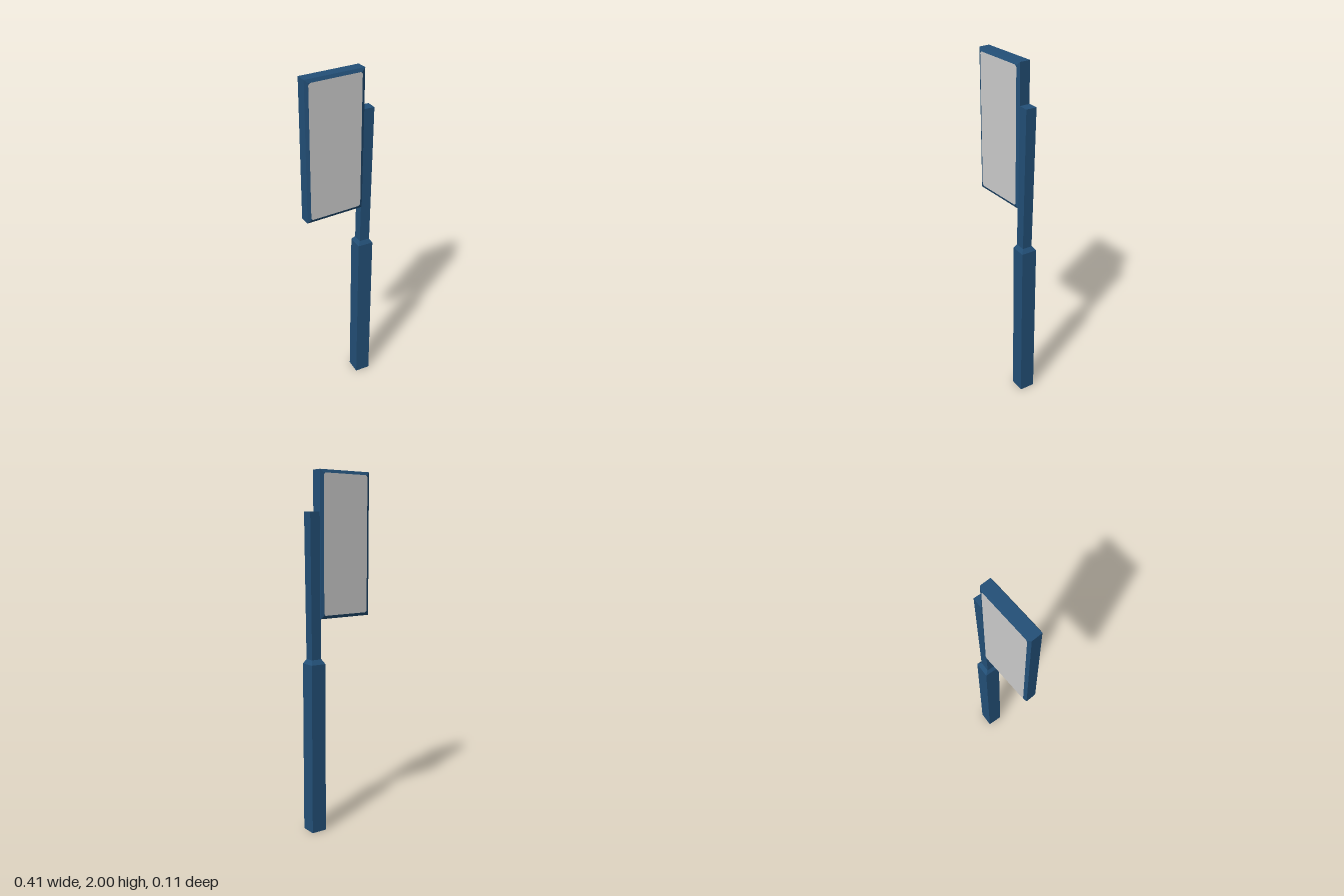
import * as THREE from 'three';

// Flat-sided solid through rectangular sections [cx, cy, halfW, halfH, z], z rising
function loft(sections) {
  const rings = sections.map(([cx, cy, w, h, z]) => [
    [cx - w, cy - h, z], [cx + w, cy - h, z], [cx + w, cy + h, z], [cx - w, cy + h, z],
  ]);
  const pos = [];
  const quad = (a, b, c, d) => pos.push(...a, ...b, ...c, ...a, ...c, ...d);
  const first = rings[0], last = rings[rings.length - 1];
  quad(first[3], first[2], first[1], first[0]);
  for (let i = 0; i < rings.length - 1; i++) {
    for (let j = 0; j < 4; j++) {
      const k = (j + 1) % 4;
      quad(rings[i][j], rings[i][k], rings[i + 1][k], rings[i + 1][j]);
    }
  }
  quad(...last);
  const geo = new THREE.BufferGeometry();
  geo.setAttribute('position', new THREE.Float32BufferAttribute(pos, 3));
  geo.computeVertexNormals();
  return geo;
}

export function createModel() {
  const group = new THREE.Group();
  const blue = new THREE.MeshStandardMaterial({ color: 0x235078 });
  blue.name = 'blue paint';
  const grey = new THREE.MeshStandardMaterial({ color: 0xcccccc });
  grey.name = 'light grey panel';

  const add = (parent, name, geo, mat) => {
    const mesh = new THREE.Mesh(geo, mat);
    mesh.name = name;
    parent.add(mesh);
    return mesh;
  };

  // Square post with a chamfered shoulder
  add(group, 'lowerPost', loft([
    [0.16, 0.009, 0.0445, 0.0445, 0],
    [0.16, 0.009, 0.0445, 0.0445, 0.96],
    [0.159, 0.006, 0.03, 0.029, 0.985],
  ]).rotateX(-Math.PI / 2), blue);

  // Slimmer post, leaning slightly toward the outside
  add(group, 'upperPost', loft([
    [0.159, 0.005, 0.03, 0.028, 0.98],
    [0.17, 0.01, 0.03, 0.03, 1.78],
  ]).rotateX(-Math.PI / 2), blue);

  // Sign box, turned a little, bevelled on front and back
  const sign = new THREE.Group();
  sign.name = 'sign';
  sign.position.set(-0.0325, 1.6035, 0.0025);
  sign.rotation.y = 0.0724;
  group.add(sign);

  const W = 0.172, H = 0.3965, w = 0.153, h = 0.379, depth = 0.0375;
  add(sign, 'signFrame', loft([
    [0, 0, w, h, -depth], [0, 0, W, H, -0.03], [0, 0, W, H, 0.03], [0, 0, w, h, depth],
  ]), blue);

  // Panels with clipped corners on both faces
  const c = 0.01;
  const outline = new THREE.Shape([
    [-w + c, -h], [w - c, -h], [w, -h + c], [w, h - c],
    [w - c, h], [-w + c, h], [-w, h - c], [-w, -h + c],
  ].map(([x, y]) => new THREE.Vector2(x, y)));
  for (const [name, turn] of [['frontPanel', 0], ['backPanel', Math.PI]]) {
    const geo = new THREE.ShapeGeometry(outline).translate(0, 0, depth + 0.001);
    add(sign, name, geo, grey).rotation.y = turn;
  }
  return group;
}
